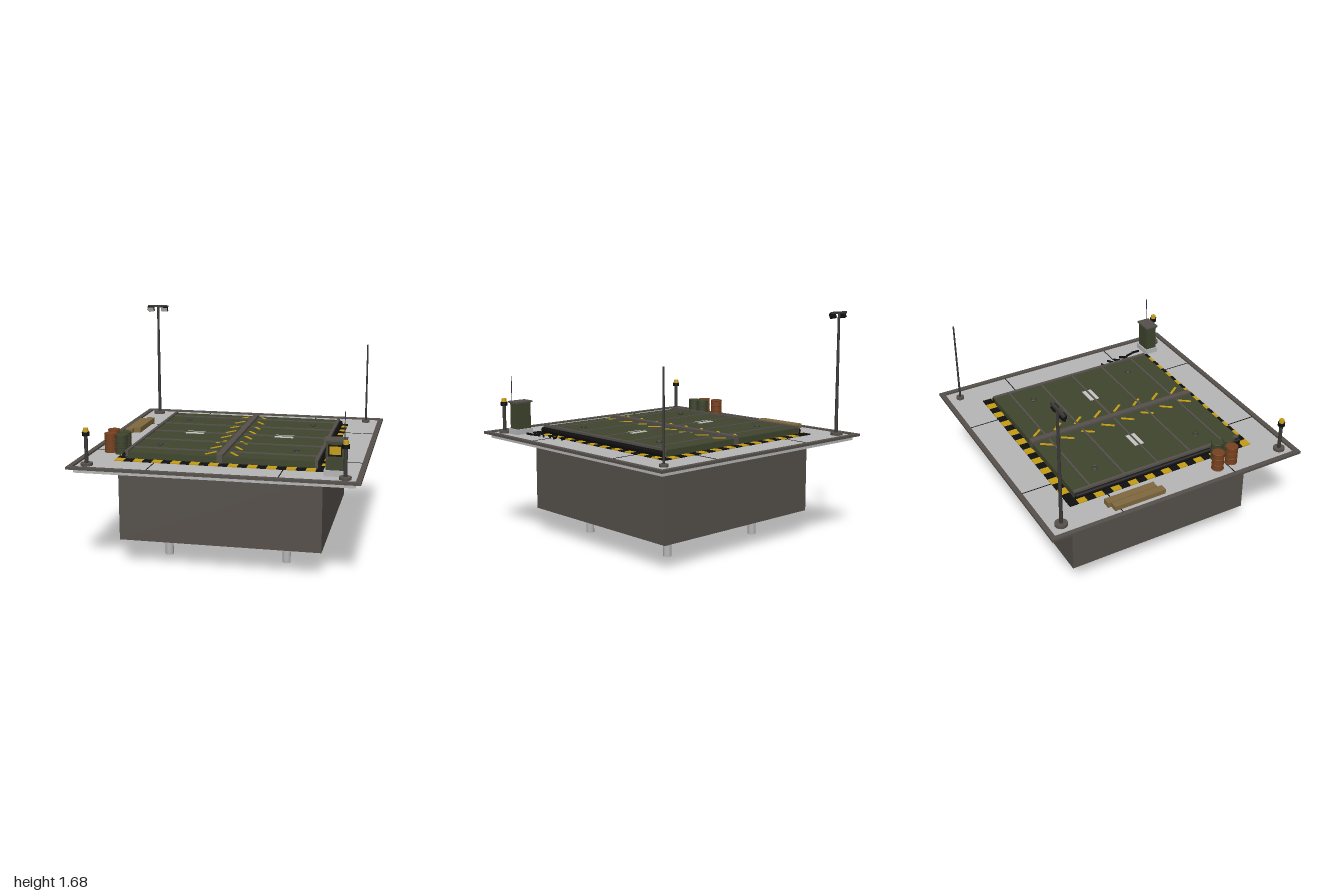
import * as THREE from 'three';

const mat = (name, color) => {
  const m = new THREE.MeshStandardMaterial({ color });
  m.name = name;
  return m;
};

export function createModel() {
  const concrete = mat('concrete', 0xb6b6b6);
  const steel = mat('brown grey steel', 0x55504b);
  const darkSteel = mat('dark steel', 0x3a3937);
  const olive = mat('olive paint', 0x3e452d);
  const black = mat('black', 0x0f0f0f);
  const yellow = mat('hazard yellow', 0xc59c12);
  const rust = mat('rust red', 0x78421f);
  const wood = mat('timber', 0x80693f);
  const lamp = mat('pale lamp', 0xc4c4c0);

  const model = new THREE.Group();
  model.name = 'siloHatch';

  const add = (name, geo, m, x, y, z, parent = model) => {
    const mesh = new THREE.Mesh(geo, m);
    mesh.name = name;
    mesh.position.set(x, y, z);
    parent.add(mesh);
    return mesh;
  };
  // box given by its centre in plan and its bottom and top heights
  const box = (name, m, w, d, y0, y1, x, z, parent) =>
    add(name, new THREE.BoxGeometry(w, y1 - y0, d), m, x, (y0 + y1) / 2, z, parent);
  const cyl = (name, m, r, y0, y1, x, z, parent, rTop = r) =>
    add(name, new THREE.CylinderGeometry(rTop, r, y1 - y0, 16), m, x, (y0 + y1) / 2, z, parent);
  const group = (name) => {
    const g = new THREE.Group();
    g.name = name;
    model.add(g);
    return g;
  };

  const G = 0.765; // deck height

  // underground pit, feet and deck slab
  box('pit', steel, 1.44, 1.44, 0.185, 0.73, 0, 0);
  for (const x of [-0.435, 0.435])
    for (const z of [-0.435, 0.435]) cyl('foot', concrete, 0.03, 0, 0.19, x, z);
  box('slab', concrete, 1.92, 1.92, 0.727, G, 0, 0);
  for (const s of [-1, 1]) {
    box('rimSide', steel, 0.036, 2, 0.757, 0.775, s * 0.982, 0);
    box('rimEnd', steel, 1.928, 0.036, 0.757, 0.775, 0, s * 0.982);
    box('jointAcross', black, 1.92, 0.006, G, G + 0.002, 0, s * 0.452);
    box('jointAlong', black, 0.006, 1.92, G, G + 0.002, s * 0.452, 0);
  }

  // hazard border of alternating blocks
  const border = group('hazardBorder');
  const n = 22, step = 1.48 / n;
  for (let i = 0; i < n; i++) {
    const p = -0.74 + (i + 0.5) * step;
    const c = 0.74 - step / 2;
    const tone = i % 2 ? black : yellow;
    box('frontStripe', tone, step, step, G, G + 0.007, p, c, border);
    box('backStripe', i === 0 ? black : tone, step, step, G, G + 0.007, p, -c, border);
    if (i > 0 && i < n - 1)
      for (const s of [-1, 1])
        box('sideStripe', i % 2 ? yellow : black, step, step, G, G + 0.007, s * c, p, border);
  }

  // twin doors with ribs, rails, hinges and markings
  const top = 0.817;
  for (const s of [-1, 1]) {
    const door = group(s > 0 ? 'leftDoor' : 'rightDoor');
    box('doorPanel', olive, 0.65, 1.35, G, top, s * 0.335, 0, door);
    box('doorRail', steel, 0.022, 1.35, G, 0.828, s * 0.669, 0, door);
    const hinge = add('hingeTube', new THREE.CylinderGeometry(0.021, 0.021, 1.35, 16), black, s * 0.682, 0.791, 0, door);
    hinge.rotation.x = Math.PI / 2;
    for (let i = -2; i <= 2; i++)
      box('doorRib', steel, 0.62, 0.014, top, top + 0.008, s * 0.345, i * 0.271 - 0.005, door);
    box('gripPlate', lamp, 0.14, 0.072, top, top + 0.005, s * 0.34, -0.005, door);
    for (const z of [-0.42, 0.42]) {
      const ring = add('liftRing', new THREE.TorusGeometry(0.02, 0.004, 8, 20), darkSteel, s * 0.497, top + 0.004, z, door);
      ring.rotation.x = Math.PI / 2;
    }
    for (let i = 0; i < 8; i++) {
      const bar = box('chevron', yellow, 0.018, 0.1, top, top + 0.004, s * 0.083, -0.588 + i * 0.168, door);
      bar.rotation.y = s * 0.64;
    }
  }
  box('centreSeam', steel, 0.044, 1.36, G, 0.834, 0, 0);

  // oil drums
  for (const [x, z, m] of [[-0.86, 0.37, rust], [-0.845, 0.495, rust], [-0.755, 0.43, olive], [-0.755, 0.525, olive]]) {
    const drum = group('drum');
    cyl('drumBody', m, 0.043, G, 0.905, x, z, drum);
    for (const y of [G + 0.004, 0.812, 0.858, 0.901]) {
      const hoop = add('drumHoop', new THREE.TorusGeometry(0.043, 0.003, 6, 20), m, x, y, z, drum);
      hoop.rotation.x = Math.PI / 2;
    }
  }

  // timber planks
  box('plank', wood, 0.054, 0.395, G, 0.8, -0.9, -0.298);
  box('plank', wood, 0.056, 0.385, G, 0.805, -0.845, -0.328);

  // floodlight mast
  const mast = group('floodlightMast');
  cyl('mastBase', steel, 0.045, G, 0.785, -0.875, -0.875, mast);
  cyl('mastPole', darkSteel, 0.013, 0.78, 1.67, -0.873, -0.873, mast, 0.009);
  box('mastCrossbar', darkSteel, 0.17, 0.02, 1.665, 1.681, -0.873, -0.87, mast);
  for (const s of [-1, 1]) {
    const head = new THREE.Group();
    head.name = 'floodlight';
    head.position.set(-0.873 + s * 0.058, 1.652, -0.862);
    head.rotation.x = 0.4;
    mast.add(head);
    add('lampHousing', new THREE.BoxGeometry(0.054, 0.038, 0.022), black, 0, 0, 0, head);
    add('lampLens', new THREE.BoxGeometry(0.05, 0.034, 0.004), lamp, 0, 0, 0.012, head);
  }

  // tall aerial
  const aerial = group('aerial');
  cyl('aerialBase', steel, 0.03, G, 0.783, 0.87, -0.875, aerial);
  cyl('aerialRod', darkSteel, 0.008, 0.78, 1.4, 0.87, -0.875, aerial, 0.006);

  // warning beacons
  for (const s of [-1, 1]) {
    const beacon = group('beacon');
    const x = s * 0.887, z = 0.887;
    cyl('beaconBase', steel, 0.042, G, 0.783, x, z, beacon);
    cyl('beaconPost', darkSteel, 0.013, 0.78, 0.98, x, z, beacon);
    cyl('beaconCollar', black, 0.026, 0.973, 1.0, x, z, beacon);
    cyl('beaconLight', yellow, 0.02, 1.0, 1.026, x, z, beacon, 0.017);
  }

  // control cabinet
  const cab = group('controlCabinet');
  const cx = 0.81, cz = 0.785;
  box('cabinetPlinth', concrete, 0.145, 0.11, G, 0.805, cx, cz, cab);
  box('cabinetBody', olive, 0.122, 0.088, 0.8, 1.0, cx, cz, cab);
  box('cabinetRoof', steel, 0.15, 0.106, 1.0, 1.012, cx, cz, cab);
  box('screenFrame', black, 0.09, 0.006, 0.9, 0.978, cx, cz + 0.046, cab);
  box('screen', yellow, 0.074, 0.004, 0.913, 0.968, cx + 0.002, cz + 0.05, cab);
  box('redButton', rust, 0.014, 0.008, 0.88, 0.894, 0.762, cz + 0.047, cab);
  cyl('cabinetWhip', darkSteel, 0.003, 1.01, 1.2, 0.87, 0.808, cab);

  // cable pieces lying between cabinet and door: x, z, heading
  const cable = group('cable');
  for (const [x, z, dx, dz] of [[0.74, 0.335, 11, -2], [0.765, 0.415, 10, -6], [0.765, 0.475, 9, -10],
    [0.78, 0.54, 7, -12], [0.795, 0.605, 3, 11], [0.81, 0.67, 0, 1]]) {
    const piece = box('cablePiece', black, 0.009, 0.07, G, 0.78, x, z, cable);
    piece.rotation.y = Math.atan2(dx, dz);
  }
  return model;
}
